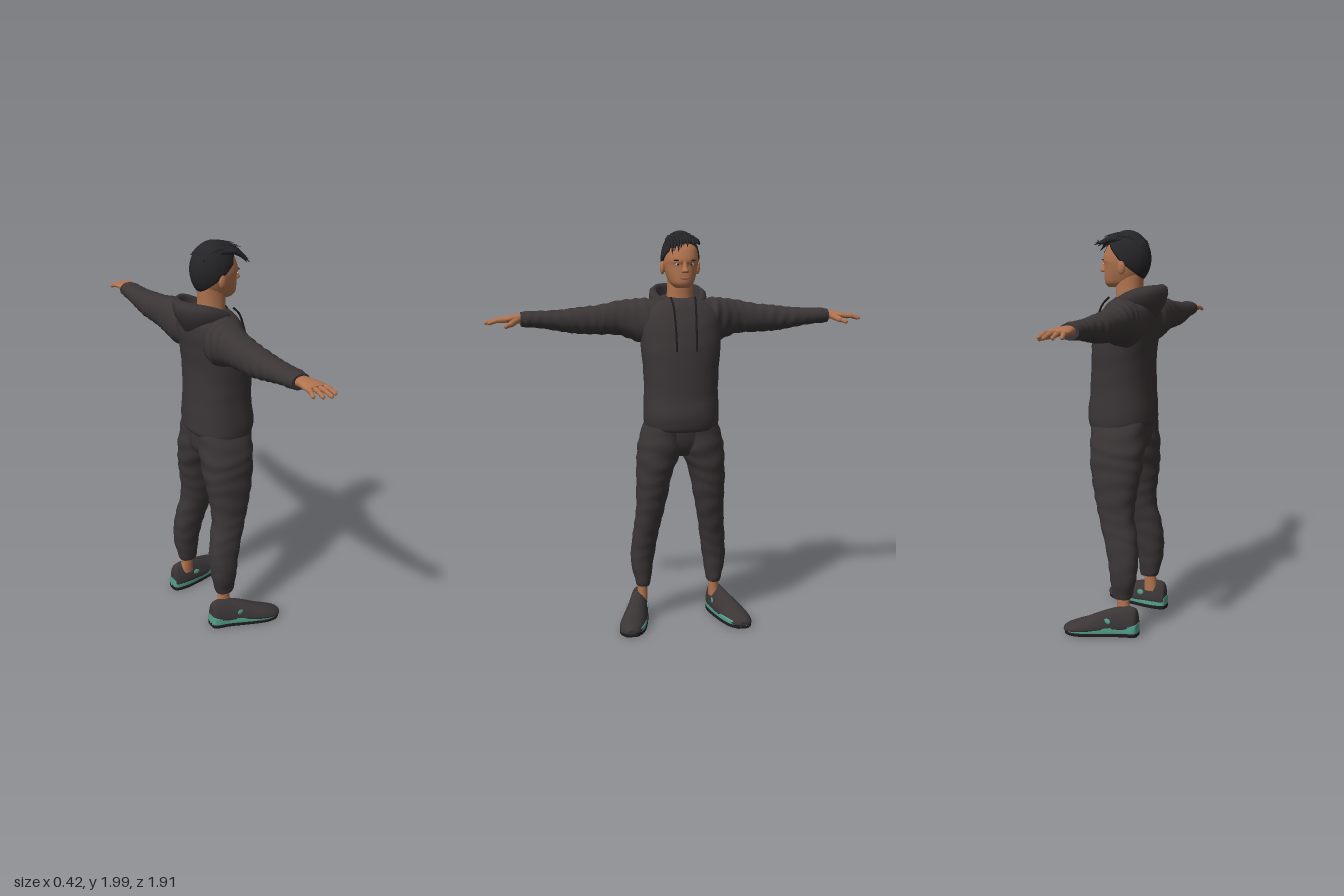
import * as THREE from 'three';
import { mergeVertices } from 'three/addons/utils/BufferGeometryUtils.js';

const mat = (name, color) => Object.assign(new THREE.MeshStandardMaterial({ color }), { name });
const V = (x, y, z) => new THREE.Vector3(x, y, z);

const catmull = (p0, p1, p2, p3, t) =>
  0.5 * (2 * p1 + (p2 - p0) * t + (2 * p0 - 5 * p1 + 4 * p2 - p3) * t * t + (3 * p1 - p0 - 3 * p2 + p3) * t * t * t);

// Skins cross-sections [t, a0, a1, b0, b1] along an axis; rings are superellipses, smoothed between.
function loft(axis, rings, { n = 28, power = 2.2, steps = 4, wrinkle = 0, freq = 90, taper = 0, tilt = 0 } = {}) {
  const rows = [];
  for (let i = 0; i < rings.length - 1; i++) {
    const at = k => rings[Math.max(0, Math.min(rings.length - 1, k))];
    for (let s = 0; s < steps; s++) rows.push(rings[i].map((_, c) => catmull(at(i - 1)[c], at(i)[c], at(i + 1)[c], at(i + 2)[c], s / steps)));
  }
  rows.push(rings[rings.length - 1]);
  const pos = [], idx = [];
  const place = (t, a, b) => axis === 'x' ? pos.push(t, a, b) : axis === 'y' ? pos.push(a, t + tilt * a, b) : pos.push(a, b, t);
  const tri = (a, b, c) => axis === 'y' ? idx.push(a, c, b) : idx.push(a, b, c);
  const ring = ([t, a0, a1, b0, b1], r) => {
    const edge = r === 0 || r === rows.length - 1 ? 0 : 1;
    for (let j = 0; j < n; j++) {
      const th = j / n * Math.PI * 2, c = Math.cos(th), s = Math.sin(th);
      const ca = Math.sign(c) * Math.abs(c) ** (2 / power), sb = Math.sign(s) * Math.abs(s) ** (2 / power);
      const w = 1 + edge * wrinkle * Math.sin(t * freq + 1.6 * Math.sin(th * 2 + t * 17));
      place(t, (a0 + a1) / 2 + (a1 - a0) / 2 * ca * w, (b0 + b1) / 2 + (b1 - b0) / 2 * sb * w * (1 - taper * ca));
    }
  };
  rows.forEach(ring);
  for (let i = 0; i < rows.length - 1; i++) for (let j = 0; j < n; j++) {
    const k = (j + 1) % n, p = i * n;
    tri(p + j, p + k, p + n + k);
    tri(p + j, p + n + k, p + n + j);
  }
  // end caps
  [0, rows.length - 1].forEach(r => {
    const base = pos.length / 3, [t, a0, a1, b0, b1] = rows[r];
    ring(rows[r], r);
    place(t, (a0 + a1) / 2, (b0 + b1) / 2);
    for (let j = 0; j < n; j++) {
      const k = (j + 1) % n;
      r ? tri(base + j, base + k, base + n) : tri(base + k, base + j, base + n);
    }
  });
  return build(pos, idx);
}

function build(pos, idx) {
  const g = new THREE.BufferGeometry();
  g.setAttribute('position', new THREE.Float32BufferAttribute(pos, 3));
  g.setIndex(idx);
  g.computeVertexNormals();
  return g;
}

function mirrorZ(geo) {
  const g = geo.clone().scale(1, 1, -1), ix = g.index.array;
  for (let i = 0; i < ix.length; i += 3) [ix[i], ix[i + 1]] = [ix[i + 1], ix[i]];
  g.computeVertexNormals();
  return g;
}

const blob = (x, y, z, rx, ry, rz) => new THREE.SphereGeometry(1, 16, 12).scale(rx, ry, rz).translate(x, y, z);

function capsule(a, b, r) {
  const d = b.clone().sub(a), g = new THREE.CapsuleGeometry(r, d.length(), 4, 10);
  g.applyQuaternion(new THREE.Quaternion().setFromUnitVectors(V(0, 1, 0), d.normalize()));
  const m = a.clone().add(b).multiplyScalar(0.5);
  return g.translate(m.x, m.y, m.z);
}

// Tapered, pointed lock of hair
function lock(points, r) {
  const curve = new THREE.CatmullRomCurve3(points), g = new THREE.TubeGeometry(curve, 8, r, 6), p = g.attributes.position;
  for (let i = 0; i < p.count; i++) {
    const t = Math.floor(i / 7) / 8, c = curve.getPointAt(t), v = V(0, 0, 0).fromBufferAttribute(p, i);
    v.sub(c).multiplyScalar((1 - t) ** 0.7).add(c);
    p.setXYZ(i, v.x, v.y, v.z);
  }
  g.computeVertexNormals();
  return g;
}

// Cap of hair: a sphere whose lower edge follows the hairline
function hairCap() {
  let g = new THREE.SphereGeometry(1, 40, 18, 0, Math.PI * 2, 0, 3.14);
  const p = g.attributes.position, uv = g.attributes.uv;
  for (let i = 0; i < p.count; i++) {
    const phi = uv.getX(i) * Math.PI * 2, t = 1 - uv.getY(i), f = -Math.cos(phi), s = Math.sin(phi);
    const limit = (f > 0 ? 98 - 42 * f + 10 * s * f : 98 - 38 * f) * Math.PI / 180;
    const last = t > 0.99, th = Math.min(1, t * 18 / 17) * limit;
    const k = last ? 0.86 : 1 + 0.012 * Math.sin(phi * 13 + t * 5) * t;
    p.setXYZ(i, -0.015 + 0.115 * k * f * Math.sin(th), 1.86 + 0.135 * k * Math.cos(th), 0.094 * k * s * Math.sin(th));
  }
  g.deleteAttribute('uv');
  g.deleteAttribute('normal');
  g = mergeVertices(g, 1e-5);
  g.computeVertexNormals();
  return g;
}

// Folded hood lying around the neck, high at the back and dipping at the throat
function hoodGeometry() {
  const n = 48, pos = [], idx = [], m = 7;
  for (let i = 0; i < n; i++) {
    const a = i / n * Math.PI * 2, k = (1 - Math.cos(a)) / 2, R = 0.145;
    const top = 1.648 + 0.088 * Math.sin(k * Math.PI / 2), rin = 0.085 + 0.02 * k;
    const profile = [[rin, 1.61], [rin + 0.008, top - 0.02], [R - 0.025, top], [R - 0.004, top - 0.015],
      [R, top - 0.045], [R - 0.012, top - 0.09], [R - 0.06, 1.61 - 0.05 * k]];
    profile.forEach(([r, y]) => pos.push(-0.07 + r * Math.cos(a), y, r * Math.sin(a)));
    for (let j = 0; j < m; j++) {
      const q = (i + 1) % n * m, p = i * m, l = (j + 1) % m;
      idx.push(p + j, p + l, q + l, p + j, q + l, q + j);
    }
  }
  return build(pos, idx);
}

export function createModel() {
  const model = new THREE.Group();
  model.name = 'standingMan';
  const cloth = mat('charcoalCloth', 0x3b3536), skin = mat('skin', 0xb0734f), hair = mat('blackHair', 0x252427),
    teal = mat('tealSole', 0x55a38f), rubber = mat('darkRubber', 0x1f1c1d), white = mat('eyeWhite', 0xd8cfc8),
    lip = mat('lips', 0xa86453);
  cloth.side = THREE.DoubleSide;
  const add = (name, geo, m) => {
    const mesh = new THREE.Mesh(geo, m);
    mesh.name = name;
    model.add(mesh);
  };
  const pair = (name, geo, m) => { add('right' + name, geo, m); add('left' + name, mirrorZ(geo), m); };

  // Hoodie
  add('hoodieBody', loft('y', [
    [1.035, -0.14, 0.158, -0.178, 0.178], [1.055, -0.155, 0.17, -0.187, 0.187], [1.11, -0.155, 0.179, -0.189, 0.189],
    [1.2, -0.15, 0.167, -0.184, 0.184], [1.3, -0.145, 0.16, -0.187, 0.187], [1.4, -0.148, 0.155, -0.195, 0.195],
    [1.48, -0.157, 0.143, -0.2, 0.2], [1.55, -0.165, 0.125, -0.2, 0.2], [1.61, -0.163, 0.1, -0.188, 0.188],
    [1.65, -0.15, 0.075, -0.14, 0.14], [1.675, -0.12, 0.04, -0.08, 0.08]],
  { n: 40, power: 2.3, tilt: -0.08, wrinkle: 0.006, freq: 45 }), cloth);
  add('hood', hoodGeometry(), cloth);
  pair('Sleeve', loft('z', [
    [0.08, -0.13, 0.06, 1.45, 1.655], [0.16, -0.157, 0.06, 1.44, 1.668], [0.22, -0.16, 0.03, 1.457, 1.665],
    [0.3, -0.16, 0, 1.485, 1.655], [0.4, -0.15, -0.005, 1.49, 1.635], [0.5, -0.145, -0.01, 1.495, 1.625],
    [0.58, -0.135, -0.012, 1.507, 1.615], [0.68, -0.125, -0.015, 1.525, 1.61], [0.74, -0.12, -0.015, 1.53, 1.61],
    [0.78, -0.115, -0.02, 1.535, 1.605]], { steps: 7, wrinkle: 0.03, freq: 120 }), cloth);
  pair('Drawstring', new THREE.TubeGeometry(new THREE.CatmullRomCurve3([V(0.06, 1.675, 0.06), V(0.1, 1.635, 0.055),
    V(0.13, 1.56, 0.052), V(0.148, 1.49, 0.05), V(0.157, 1.42, 0.05)]), 16, 0.005, 6), rubber);

  // Trousers
  add('trouserSeat', loft('y', [[0.89, -0.07, 0.08, -0.05, 0.05], [0.95, -0.125, 0.12, -0.15, 0.15],
    [1.07, -0.135, 0.14, -0.18, 0.18]]), cloth);
  pair('TrouserLeg', loft('y', [
    [0.185, -0.105, -0.015, 0.155, 0.222], [0.21, -0.115, -0.008, 0.148, 0.228], [0.3, -0.135, 0, 0.135, 0.248],
    [0.4, -0.14, 0.017, 0.12, 0.245], [0.5, -0.128, 0.045, 0.105, 0.235], [0.6, -0.107, 0.075, 0.085, 0.226],
    [0.7, -0.115, 0.1, 0.065, 0.226], [0.8, -0.13, 0.12, 0.045, 0.225], [0.88, -0.138, 0.132, 0.012, 0.222],
    [0.95, -0.14, 0.138, -0.01, 0.215], [1.07, -0.135, 0.14, -0.02, 0.18]], { steps: 6, wrinkle: 0.022, freq: 75 }), cloth);

  // Ankles and shoes, toes turned out
  pair('Ankle', loft('y', [[0.1, -0.11, -0.03, 0.165, 0.225], [0.15, -0.1, -0.035, 0.165, 0.215],
    [0.22, -0.095, -0.03, 0.165, 0.215]]), skin);
  pair('ShoeUpper', loft('x', [
    [-0.15, 0.03, 0.115, 0.18, 0.225], [-0.138, 0.015, 0.145, 0.168, 0.24], [-0.09, 0.015, 0.152, 0.163, 0.255],
    [-0.03, 0.015, 0.14, 0.17, 0.275], [0.04, 0.015, 0.115, 0.185, 0.305], [0.1, 0.015, 0.09, 0.203, 0.328],
    [0.15, 0.015, 0.073, 0.222, 0.335], [0.19, 0.015, 0.056, 0.243, 0.327], [0.209, 0.02, 0.042, 0.268, 0.308]],
  { power: 2.5, taper: 0.3 }), cloth);
  const sole = (y0, heel, toe, grow) => loft('x', [[-0.153, 0.19, 0.225], [-0.14, 0.168, 0.243], [-0.07, 0.163, 0.262],
    [0.04, 0.183, 0.307], [0.12, 0.205, 0.334], [0.17, 0.228, 0.332], [0.2, 0.258, 0.312]].map(([x, z0, z1]) =>
    [x, y0, THREE.MathUtils.mapLinear(x, -0.153, 0.2, heel, toe), z0 - grow, z1 + grow]), { power: 7 });
  pair('Midsole', sole(0.016, 0.07, 0.04, 0.001), teal);
  pair('Outsole', sole(0.003, 0.025, 0.022, 0.003), rubber);
  pair('OuterShoeSpot', blob(-0.015, 0.085, 0.278, 0.018, 0.015, 0.004), teal);
  pair('InnerShoeSpot', blob(-0.015, 0.085, 0.172, 0.018, 0.015, 0.004), teal);

  // Hands
  pair('Palm', loft('z', [[0.76, -0.098, -0.035, 1.547, 1.597], [0.8, -0.1, -0.022, 1.553, 1.596],
    [0.84, -0.104, -0.004, 1.556, 1.59], [0.872, -0.1, -0.002, 1.558, 1.582]]), skin);
  [['Index', -0.012, -0.002, 0.928], ['Middle', -0.038, -0.034, 0.945], ['Ring', -0.063, -0.068, 0.932],
    ['Little', -0.088, -0.1, 0.908]].forEach(([name, x0, x1, z]) => {
    const mid = V((x0 + x1) / 2, 1.569, (0.86 + z) / 2);
    pair(name + 'FingerBase', capsule(V(x0, 1.57, 0.855), mid, 0.0115), skin);
    pair(name + 'FingerTip', capsule(mid, V(x1, 1.558, z), 0.0095), skin);
  });
  pair('ThumbBase', capsule(V(-0.03, 1.567, 0.8), V(0.012, 1.553, 0.828), 0.015), skin);
  pair('ThumbTip', capsule(V(0.012, 1.553, 0.828), V(0.033, 1.543, 0.852), 0.01), skin);

  // Neck and head
  add('neck', loft('y', [[1.6, -0.1, 0.045, -0.07, 0.07], [1.68, -0.09, 0.043, -0.064, 0.064],
    [1.73, -0.09, 0.045, -0.062, 0.062], [1.8, -0.095, 0.04, -0.062, 0.062]]), skin);
  add('head', loft('y', [
    [1.72, -0.02, 0.088, -0.032, 0.032], [1.74, -0.055, 0.103, -0.055, 0.055], [1.77, -0.085, 0.106, -0.068, 0.068],
    [1.8, -0.1, 0.105, -0.077, 0.077], [1.83, -0.11, 0.105, -0.083, 0.083], [1.85, -0.112, 0.112, -0.084, 0.084],
    [1.88, -0.113, 0.105, -0.083, 0.083], [1.92, -0.103, 0.085, -0.076, 0.076], [1.96, -0.07, 0.04, -0.05, 0.05]],
  { n: 36 }), skin);
  add('nose', loft('y', [[1.792, 0.09, 0.118, -0.014, 0.014], [1.801, 0.085, 0.136, -0.018, 0.018],
    [1.82, 0.09, 0.125, -0.012, 0.012], [1.85, 0.09, 0.114, -0.009, 0.009]], { n: 14 }), skin);
  pair('Ear', blob(-0.015, 1.818, 0.088, 0.02, 0.034, 0.012), skin);
  pair('Eye', blob(0.096, 1.833, 0.034, 0.005, 0.005, 0.012), white);
  pair('Iris', blob(0.1, 1.833, 0.033, 0.003, 0.0045, 0.005), hair);
  pair('Eyebrow', blob(0.1, 1.853, 0.036, 0.007, 0.004, 0.019), hair);
  add('mouth', blob(0.1, 1.767, 0, 0.01, 0.006, 0.024), lip);

  // Hair: cap, swept locks on top and a ragged fringe
  add('hairCap', hairCap(), hair);
  for (let i = 0; i < 11; i++) {
    const z = -0.07 + i * 0.0145, jag = (i * 7 % 5) / 5, h = 1.975 - 4 * z * z;
    add('fringeLock' + i, lock([V(-0.01, h - 0.005, z * 0.8), V(0.055, h - 0.008, z * 0.95), V(0.105, h - 0.032 - z * 0.1, z),
      V(0.122 + jag * 0.045, 1.92 - z * 0.45 - jag * 0.02, z + 0.01)], 0.017), hair);
  }
  for (let i = 0; i < 7; i++) {
    const z = -0.06 + i * 0.02, h = 1.99 - 5 * z * z;
    add('crownLock' + i, lock([V(-0.1, h - 0.055, z * 0.7), V(-0.04, h - 0.012, z * 0.9), V(0.02, h - 0.008, z),
      V(0.085 + (i % 3) * 0.015, h - 0.025, z + 0.012)], 0.014), hair);
  }
  return model;
}
